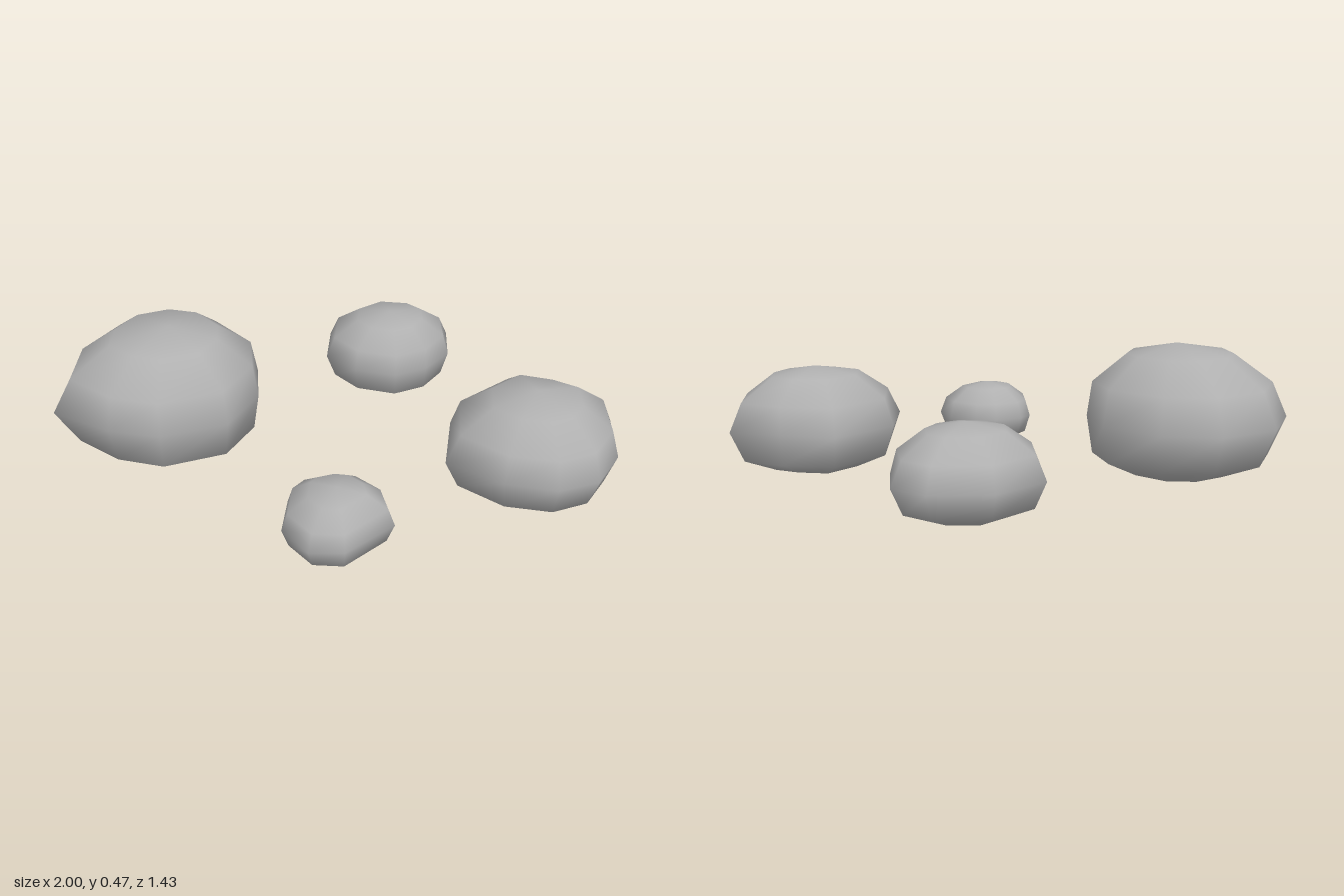
import * as THREE from 'three';

// Each rock: its peak [x, y, z] and plan outline [x, z] at the widest height.
const ROCKS = [
  {
    name: 'largeRock',
    peak: [-0.57, 0.47, -0.16],
    outline: [[-1, -0.05], [-0.95, -0.3], [-0.8, -0.49], [-0.57, -0.54], [-0.38, -0.46],
      [-0.25, -0.26], [-0.26, -0.07], [-0.38, 0.1], [-0.62, 0.15], [-0.8, 0.09]],
  },
  {
    name: 'frontRock',
    peak: [0.68, 0.375, 0.28],
    outline: [[0.35, 0.37], [0.42, 0.13], [0.65, 0], [0.83, 0.1], [1, 0.19],
      [0.95, 0.41], [0.84, 0.54], [0.69, 0.57], [0.52, 0.51]],
  },
  {
    name: 'backRock',
    peak: [0.3, 0.305, -0.47],
    outline: [[0.04, -0.44], [0.08, -0.63], [0.27, -0.72], [0.47, -0.67], [0.56, -0.57],
      [0.53, -0.4], [0.42, -0.3], [0.29, -0.26], [0.14, -0.32]],
  },
  {
    name: 'smallRock',
    peak: [-0.05, 0.23, 0.54],
    outline: [[-0.235, 0.58], [-0.2, 0.43], [-0.15, 0.385], [-0.04, 0.37], [0.04, 0.39],
      [0.12, 0.48], [0.135, 0.6], [-0.045, 0.715], [-0.16, 0.7]],
  },
];

// Shared side profile: [share of height, share of outline]
const PROFILE = [[0, 0.52], [0.13, 0.89], [0.43, 1], [0.7, 0.9], [0.92, 0.53]];

// Rings follow the outline at the widest height and grow rounder above and below it.
function rockGeometry([px, height, pz], outline) {
  const n = outline.length;
  const spokes = outline.map(([x, z]) => new THREE.Vector2(x - px, z - pz));
  const meanRadius = spokes.reduce((sum, spoke) => sum + spoke.length(), 0) / n;

  const positions = [];
  for (const [h, scale] of PROFILE) {
    const roundness = scale === 1 ? 0 : 0.4;
    for (const spoke of spokes) {
      const radius = THREE.MathUtils.lerp(spoke.length(), meanRadius, roundness);
      const p = spoke.clone().setLength(radius * scale);
      positions.push(px + p.x, h * height, pz + p.y);
    }
  }

  // Peak and underside centre
  const top = n * PROFILE.length;
  const bottom = top + 1;
  positions.push(px, height, pz, px, 0, pz);

  const index = [];
  const last = top - n;
  for (let i = 0; i < n; i++) {
    const j = (i + 1) % n;
    for (let r = 0; r < last; r += n) {
      index.push(r + i, r + n + i, r + j, r + j, r + n + i, r + n + j);
    }
    index.push(last + i, top, last + j, bottom, i, j);
  }

  const geometry = new THREE.BufferGeometry();
  geometry.setAttribute('position', new THREE.Float32BufferAttribute(positions, 3));
  geometry.setIndex(index);
  geometry.computeVertexNormals();
  return geometry;
}

export function createModel() {
  const group = new THREE.Group();
  group.name = 'rocks';
  const stone = new THREE.MeshStandardMaterial({ color: 0xb0b0b0 });
  stone.name = 'stone grey';
  for (const { name, peak, outline } of ROCKS) {
    const rock = new THREE.Mesh(rockGeometry(peak, outline), stone);
    rock.name = name;
    group.add(rock);
  }
  return group;
}
